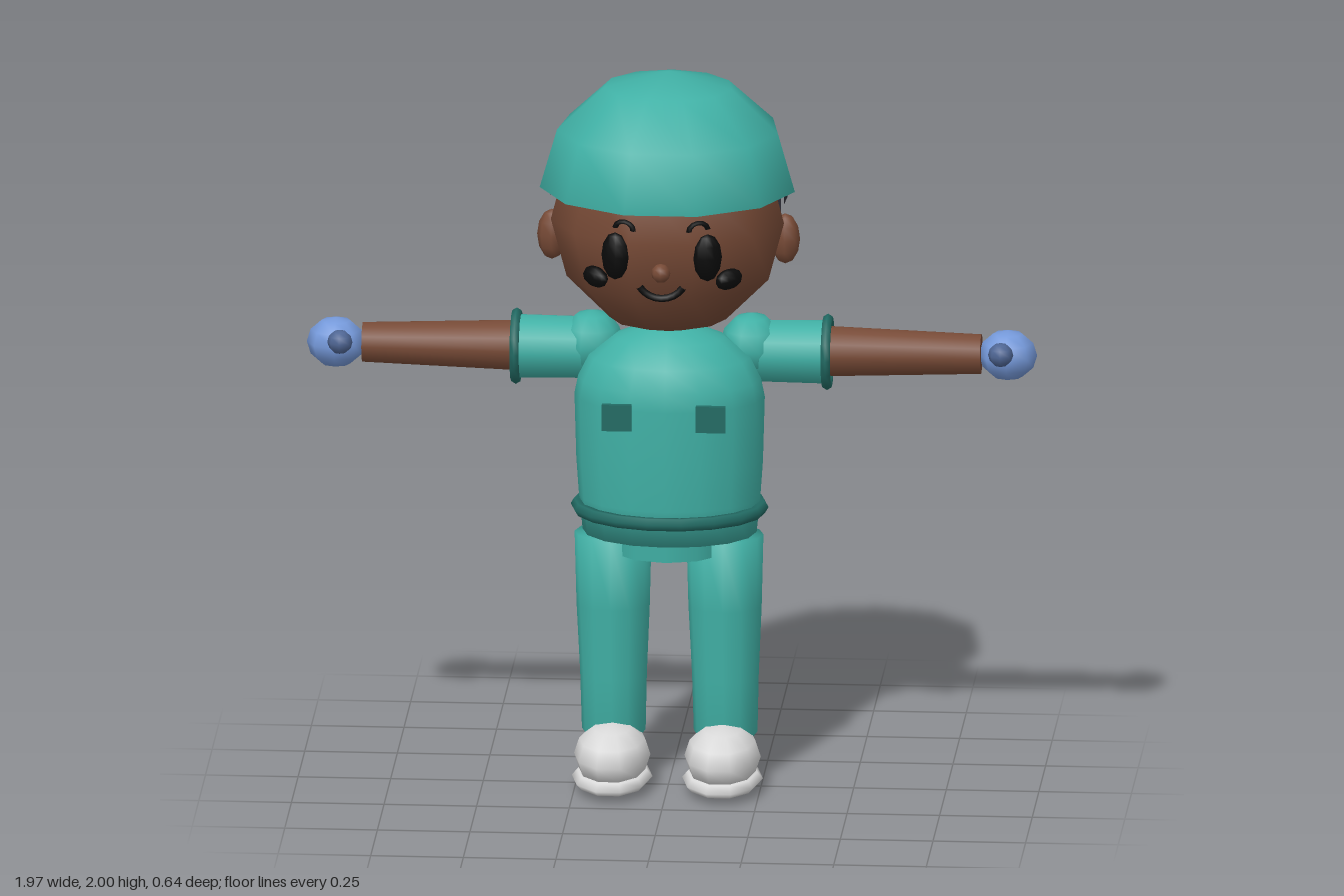
import * as THREE from 'three';

const material = (name, color, side = THREE.FrontSide) => {
  const m = new THREE.MeshStandardMaterial({ color, side });
  m.name = name;
  return m;
};

export function createModel() {
  const teal = material('teal cloth', 0x40b0a5, THREE.DoubleSide);
  const trim = material('dark teal trim', 0x226b64);
  const skin = material('brown skin', 0x774a36);
  const hair = material('dark hair', 0x2f2f3a, THREE.DoubleSide);
  const black = material('black face paint', 0x0a0a0a);
  const glove = material('blue glove', 0x7599da);
  const thumbBlue = material('dark blue thumb', 0x4f6694);
  const white = material('white shoe', 0xdadada);

  const model = new THREE.Group();
  model.name = 'figure';

  const add = (name, geometry, mat, position = [0, 0, 0], scale = [1, 1, 1], rotation = [0, 0, 0]) => {
    const mesh = new THREE.Mesh(geometry, mat);
    mesh.name = name;
    mesh.position.set(...position);
    mesh.scale.set(...scale);
    mesh.rotation.set(...rotation);
    model.add(mesh);
    return mesh;
  };
  const ball = (name, mat, position, radii, rotation, w = 10, h = 6) =>
    add(name, new THREE.SphereGeometry(1, w, h), mat, position, radii, rotation);
  const lathe = (points, segments) =>
    new THREE.LatheGeometry(points.map(([r, y]) => new THREE.Vector2(r, y)), segments);

  // Head and open half-dome cap, with a corner pointing to the back
  add('head', new THREE.SphereGeometry(1, 11, 6, -Math.PI / 2), skin, [0, 1.59, 0], [0.318, 0.32, 0.29]);
  add('cap', new THREE.SphereGeometry(1, 11, 3, -Math.PI / 2, Math.PI * 2, 0, Math.PI / 2), teal,
    [0, 1.68, 0], [0.348, 0.32, 0.32]);

  // Hair: a deep band at the back and a shallow one reaching past the ears
  const band = (name, y0, y1, start) => add(name,
    new THREE.CylinderGeometry(1, 1, y1 - y0, 14, 1, true, start, 2 * (Math.PI - start)),
    hair, [0, (y0 + y1) / 2, 0], [0.32, 1, 0.292]);
  band('backHair', 1.5, 1.65, 1.96);
  band('sideHair', 1.645, 1.72, 1.4);

  // Nose and smile
  ball('nose', skin, [0, 1.515, 0.29], [0.026, 0.026, 0.026], undefined, 8, 6);
  const smile = new THREE.TorusGeometry(0.07, 0.01, 6, 8, 2);
  smile.rotateZ(-Math.PI / 2 - 1);
  add('mouth', smile, black, [0, 1.508, 0.268]);

  // Torso, hips and belt
  add('torso', lathe([[0, 0.7], [0.235, 0.7], [0.245, 0.8], [0.252, 0.9], [0.257, 1.08], [0.247, 1.13],
    [0.217, 1.19], [0.15, 1.245], [0.07, 1.277], [0, 1.285]], 16), teal, [0, 0, -0.043], [1, 1, 0.735]);
  add('hips', new THREE.CylinderGeometry(0.172, 0.168, 0.12, 12), teal, [0, 0.715, -0.045]);
  add('belt', new THREE.TorusGeometry(0.248, 0.019, 6, 18), trim, [0, 0.77, -0.043],
    [1, 0.78, 1], [Math.PI / 2, 0, 0]);

  for (const s of [1, -1]) {
    const side = s > 0 ? 'left' : 'right';
    const out = [0, 0, -s * Math.PI / 2];

    // Face details
    ball(side + 'Ear', skin, [s * 0.315, 1.535, -0.005], [0.04, 0.07, 0.036], undefined, 8, 6);
    ball(side + 'Eye', black, [s * 0.125, 1.555, 0.268], [0.04, 0.066, 0.025], [0, s * 0.35, 0]);
    ball(side + 'Cheek', black, [s * 0.18, 1.487, 0.236], [0.042, 0.028, 0.022], [0, s * 0.65, s * 0.15]);
    add(side + 'Brow', new THREE.TorusGeometry(0.026, 0.008, 5, 6, Math.PI), black,
      [s * 0.1, 1.632, 0.272], [1, 0.8, 1], [0, s * 0.3, s * 0.1]);

    // Chest pocket, standing proud of the shirt
    add(side + 'Pocket', new THREE.BoxGeometry(0.08, 0.073, 0.015), trim, [s * 0.127, 1.077, 0.182]);

    // Arm: shoulder, sleeve, cuff, forearm, gloved hand and thumb
    ball(side + 'Shoulder', teal, [s * 0.215, 1.2, -0.125], [0.085, 0.09, 0.09]);
    add(side + 'Sleeve', new THREE.CylinderGeometry(0.088, 0.085, 0.22, 12), teal, [s * 0.31, 1.183, -0.13], [1, 1, 1], out);
    add(side + 'Cuff', new THREE.TorusGeometry(0.089, 0.014, 6, 14), trim, [s * 0.42, 1.183, -0.13],
      [1, 1, 1], [0, Math.PI / 2, 0]);
    add(side + 'Forearm', new THREE.CylinderGeometry(0.055, 0.071, 0.45, 12), skin, [s * 0.61, 1.185, -0.131], [1, 1, 1], out);
    ball(side + 'Hand', glove, [s * 0.907, 1.184, -0.132], [0.079, 0.069, 0.074], undefined, 8, 6);
    ball(side + 'Thumb', thumbBlue, [s * 0.892, 1.202, -0.067], [0.034, 0.033, 0.034], undefined, 8, 6);

    // Leg: a tapered tube drifting backwards towards the ankle
    const leg = lathe([[0, 0.11], [0.065, 0.112], [0.086, 0.14], [0.09, 0.3], [0.099, 0.5],
      [0.104, 0.7], [0, 0.702]], 12);
    const p = leg.attributes.position;
    for (let i = 0; i < p.count; i++) {
      const drop = Math.max(0, 0.55 - p.getY(i));
      p.setZ(i, p.getZ(i) * 0.9 - 0.02 - drop * 0.065);
    }
    add(side + 'Leg', leg, teal, [s * 0.151, 0, 0]);

    // Shoe with a flat, slightly wider sole
    ball(side + 'Shoe', white, [s * 0.149, 0.095, 0.04], [0.103, 0.085, 0.165]);
    ball(side + 'Sole', white, [s * 0.149, 0.034, 0.042], [0.109, 0.034, 0.175]);
  }

  return model;
}
